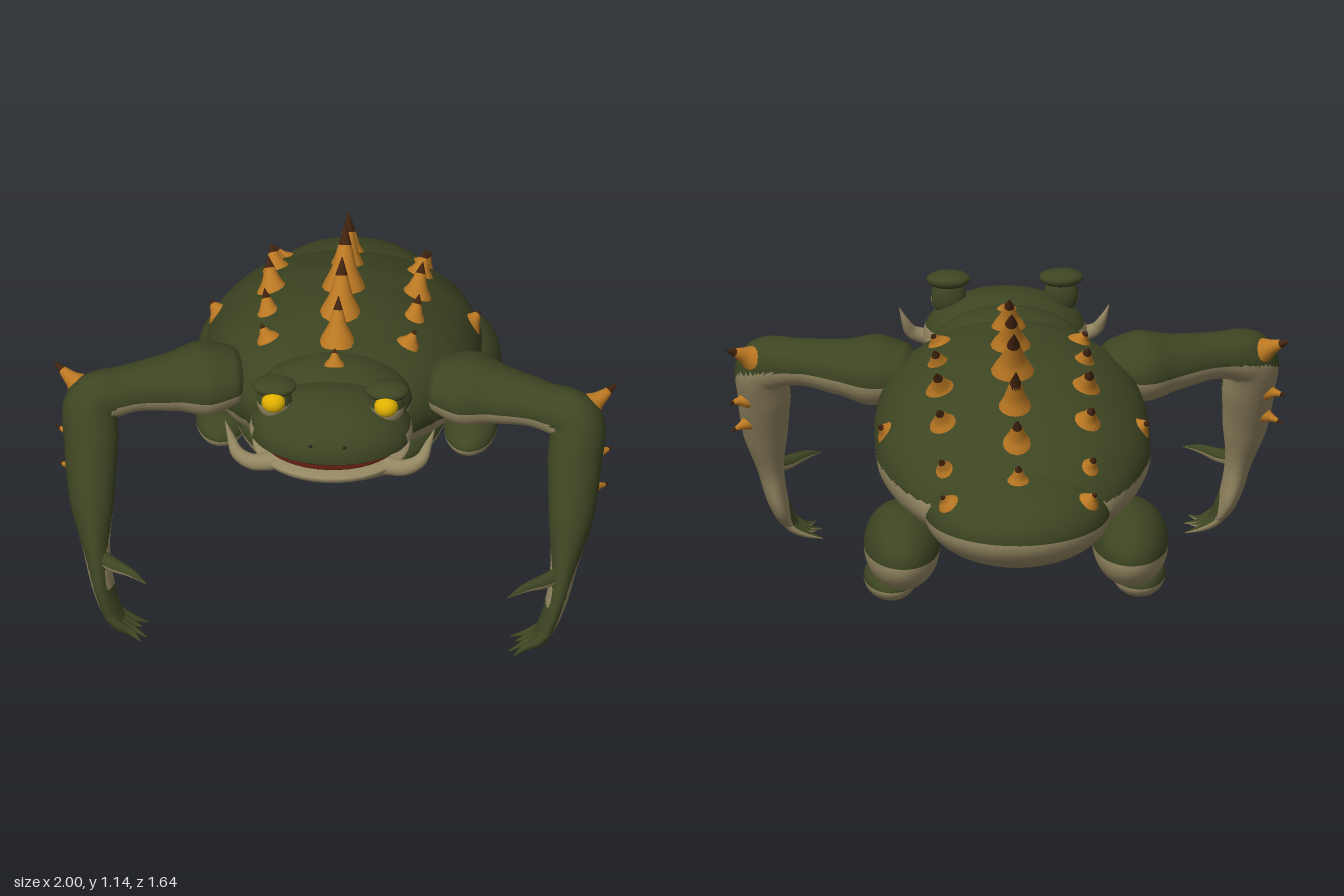
import * as THREE from 'three';

const mat = (name, color) => Object.assign(new THREE.MeshStandardMaterial({ color }), { name });

export function createModel() {
  const root = new THREE.Group();
  root.name = 'spikedToad';
  const green = mat('mossGreen', 0x3d4522);
  const tan = mat('bellyTan', 0x948762);
  const orange = mat('spikeOrange', 0xb97722);
  const brown = mat('spikeTipBrown', 0x3f220e);
  const yellow = mat('eyeYellow', 0xe0b000);
  const red = mat('mouthRed', 0x55190f);
  const dark = mat('nostrilDark', 0x1f2412);

  const add = (name, geo, material) => {
    const mesh = new THREE.Mesh(geo, material);
    mesh.name = name;
    root.add(mesh);
  };

  // Sort faces into two material groups by a rule on face centre and normal
  function twoTone(geo, isFirst) {
    const p = geo.attributes.position, idx = geo.index.array, sets = [[], []];
    const tri = new THREE.Triangle(), c = new THREE.Vector3(), n = new THREE.Vector3();
    for (let i = 0; i < idx.length; i += 3) {
      tri.setFromAttributeAndIndices(p, idx[i], idx[i + 1], idx[i + 2]);
      tri.getMidpoint(c);
      tri.getNormal(n);
      sets[isFirst(c, n) ? 0 : 1].push(idx[i], idx[i + 1], idx[i + 2]);
    }
    geo.setIndex([...sets[0], ...sets[1]]);
    geo.addGroup(0, sets[0].length, 0);
    geo.addGroup(sets[0].length, sets[1].length, 1);
    return geo;
  }

  // Ellipsoid whose upper and lower halves can have different heights
  function blob(x, y, z, rx, up, down, rz) {
    const geo = new THREE.SphereGeometry(1, 40, 28);
    const p = geo.attributes.position;
    for (let i = 0; i < p.count; i++) {
      const h = p.getY(i);
      p.setXYZ(i, x + p.getX(i) * rx, y + h * (h > 0 ? up : down), z + p.getZ(i) * rz);
    }
    geo.computeVertexNormals();
    return geo;
  }

  // Smooth loft through stations [x, y, z, radiusA, radiusB]
  function loft(stations, ref, rings, sides) {
    const path = new THREE.CatmullRomCurve3(stations.map(s => new THREE.Vector3(s[0], s[1], s[2])));
    const size = new THREE.CatmullRomCurve3(stations.map(s => new THREE.Vector3(s[3], s[4], 0)));
    const pos = [], idx = [];
    for (let i = 0; i <= rings; i++) {
      const u = i / rings, c = path.getPoint(u), t = path.getTangent(u), r = size.getPoint(u);
      const side = new THREE.Vector3().crossVectors(ref, t).normalize();
      const up = new THREE.Vector3().crossVectors(t, side);
      for (let j = 0; j < sides; j++) {
        const a = j / sides * Math.PI * 2;
        const v = c.clone().addScaledVector(side, Math.cos(a) * r.x).addScaledVector(up, Math.sin(a) * r.y);
        pos.push(v.x, v.y, v.z);
        if (i === rings) continue;
        const k = i * sides + j, l = i * sides + (j + 1) % sides;
        idx.push(k, l, k + sides, l, l + sides, k + sides);
      }
    }
    const geo = new THREE.BufferGeometry();
    geo.setAttribute('position', new THREE.Float32BufferAttribute(pos, 3));
    geo.setIndex(idx);
    geo.computeVertexNormals();
    return geo;
  }

  const X = new THREE.Vector3(1, 0, 0), Y = new THREE.Vector3(0, 1, 0), Z = new THREE.Vector3(0, 0, 1);
  const skin = [green, tan];

  // Thorn with flared base, slight bend and a dark tip
  function spike(name, b, t, r, ref = X) {
    const base = new THREE.Vector3(...b), tip = new THREE.Vector3(...t), len = base.distanceTo(tip);
    const at = (k, w) => {
      const v = base.clone().lerp(tip, k);
      return [v.x, v.y, v.z + Math.sin(k * Math.PI) * len * 0.05, r * w, r * w];
    };
    const geo = loft([at(-0.15, 1.2), at(0.08, 0.95), at(0.35, 0.58), at(0.7, 0.3), at(1, 0.02)], ref, 16, 14);
    add(name, twoTone(geo, c => c.distanceTo(tip) > len * 0.36), [orange, brown]);
  }

  // Torso, rump and belly
  const torso = loft([
    [0, 0.83, 0.52, 0.004, 0.004], [0, 0.815, 0.47, 0.21, 0.12], [0, 0.79, 0.4, 0.31, 0.19],
    [0, 0.765, 0.28, 0.42, 0.228], [0, 0.735, 0.15, 0.468, 0.26], [0, 0.702, 0, 0.488, 0.275],
    [0, 0.67, -0.2, 0.485, 0.265], [0, 0.638, -0.4, 0.425, 0.22], [0, 0.61, -0.55, 0.325, 0.145],
    [0, 0.6, -0.66, 0.004, 0.004]], Y, 110, 110);
  add('torso', twoTone(torso, c => c.y > Math.min(0.7, 0.69 + c.z * 0.08)), skin);
  add('rump', twoTone(blob(0, 0.59, -0.5, 0.33, 0.165, 0.17, 0.32), c => c.y > 0.59), skin);
  add('belly', twoTone(blob(0, 0.53, 0.05, 0.375, 0.115, 0.13, 0.41), c => c.y > 0.53), skin);

  // Head and mouth
  add('neck', twoTone(blob(0, 0.84, 0.4, 0.275, 0.15, 0.13, 0.2), c => c.y > 0.84), skin);
  add('head', twoTone(blob(0, 0.83, 0.585, 0.29, 0.155, 0.03, 0.215), c => c.y > 0.865 || c.z > 0.65), skin);
  add('mouth', blob(0, 0.8, 0.585, 0.25, 0.025, 0.025, 0.203), red);
  add('lowerJaw', blob(0, 0.77, 0.575, 0.28, 0.03, 0.07, 0.235), tan);

  // Arm colour: green front and top, pale underside and back
  const armColour = (c, n) => {
    const w = Math.max(THREE.MathUtils.smoothstep(c.y, 0.66, 0.8),
      1 - THREE.MathUtils.smoothstep(Math.abs(c.x), 0.74, 0.8));
    const limit = THREE.MathUtils.clamp(THREE.MathUtils.mapLinear(c.y, 0.65, 0.3, -0.3, 0.4), -0.2, 0.5);
    return w * (n.y + 0.1) + (1 - w) * (n.z - limit) > 0;
  };

  for (const s of [1, -1]) {
    const side = s > 0 ? 'left' : 'right';
    const flip = list => list.map(([x, ...rest]) => [x * s, ...rest]);

    // Face details
    add(side + 'Cheek', blob(s * 0.2, 0.82, 0.56, 0.085, 0.05, 0.07, 0.12), tan);
    add(side + 'EyeStalk', twoTone(blob(s * 0.2, 0.96, 0.607, 0.062, 0.08, 0.07, 0.05), c => c.y > 0.965 || c.z < 0.59), skin);
    add(side + 'Eyelid', blob(s * 0.2, 1.028, 0.608, 0.078, 0.027, 0.035, 0.056), green);
    add(side + 'Eye', blob(s * 0.2, 0.993, 0.66, 0.042, 0.038, 0.038, 0.036), yellow);
    add(side + 'Nostril', blob(s * 0.06, 0.89, 0.775, 0.008, 0.005, 0.005, 0.008), dark);
    add(side + 'Tusk', loft(flip([
      [0.2, 0.765, 0.7, 0.035, 0.035], [0.27, 0.765, 0.71, 0.03, 0.028], [0.325, 0.79, 0.695, 0.024, 0.022],
      [0.35, 0.84, 0.67, 0.014, 0.014], [0.372, 0.9, 0.655, 0.001, 0.001]]), Z, 24, 14), tan);

    // Arm with palm
    const arm = loft(flip([
      [0.3, 0.82, 0.26, 0.01, 0.01], [0.36, 0.82, 0.27, 0.09, 0.12], [0.47, 0.815, 0.29, 0.122, 0.15],
      [0.58, 0.815, 0.32, 0.1, 0.115], [0.74, 0.815, 0.375, 0.083, 0.09], [0.855, 0.785, 0.42, 0.1, 0.09],
      [0.858, 0.65, 0.485, 0.096, 0.09], [0.85, 0.47, 0.57, 0.08, 0.085], [0.83, 0.31, 0.635, 0.048, 0.08],
      [0.805, 0.18, 0.67, 0.038, 0.09], [0.77, 0.09, 0.705, 0.03, 0.068], [0.73, 0.05, 0.718, 0.008, 0.04]]),
    Z, 150, 64);
    add(side + 'Arm', twoTone(arm, armColour), skin);

    // Fingers and thumb
    for (const [k, z] of [0.672, 0.702, 0.732, 0.76].entries()) {
      const finger = loft(flip([
        [0.785, 0.1, z - 0.012, 0.02, 0.022], [0.745, 0.055, z - 0.004, 0.018, 0.02],
        [0.7, 0.03, z, 0.013, 0.014], [0.642 + (k % 2) * 0.02, 0.012 + (k % 2) * 0.012, z + k * 0.015, 0.002, 0.002]]),
      Z, 16, 12);
      add(side + 'Finger', twoTone(finger, (c, n) => n.z > 0.1 || n.y > 0.3), skin);
    }
    const thumb = loft(flip([
      [0.84, 0.3, 0.65, 0.028, 0.028], [0.77, 0.29, 0.71, 0.026, 0.026],
      [0.7, 0.295, 0.765, 0.016, 0.016], [0.64, 0.285, 0.815, 0.002, 0.002]]), Y, 16, 14);
    add(side + 'Thumb', twoTone(thumb, (c, n) => n.y > -0.1), skin);

    // Elbow and forearm spikes
    spike(side + 'ElbowSpike', [s * 0.9, 0.825, 0.385], [s, 0.885, 0.32], 0.05, Z);
    spike(side + 'ForearmSpike', [s * 0.93, 0.65, 0.425], [s * 0.99, 0.652, 0.385], 0.026, Z);
    spike(side + 'ForearmSpike', [s * 0.92, 0.54, 0.475], [s * 0.98, 0.525, 0.43], 0.024, Z);

    // Hind leg
    add(side + 'Thigh', twoTone(blob(s * 0.405, 0.425, -0.39, 0.135, 0.147, 0.145, 0.235), c => c.y > 0.425), skin);
    add(side + 'HindFoot', twoTone(blob(s * 0.44, 0.25, -0.255, 0.095, 0.063, 0.067, 0.163), c => c.y > 0.25), skin);

    // Outer rows of back spikes: base y, base z, tip y, tip z, radius
    for (const [y, z, ty, tz, r] of [
      [0.945, 0.21, 0.99, 0.19, 0.038], [0.915, 0.05, 1.005, 0, 0.054], [0.895, -0.13, 1, -0.2, 0.06],
      [0.85, -0.32, 0.93, -0.37, 0.053], [0.745, -0.49, 0.805, -0.53, 0.044], [0.68, -0.625, 0.715, -0.645, 0.034]])
      spike(side + 'BackSpike', [s * 0.252, y, z], [s * 0.275, ty, tz], r);
    spike(side + 'FlankSpike', [s * 0.445, 0.765, -0.17], [s * 0.48, 0.8, -0.195], 0.045, Z);
  }

  // Central ridge of spikes: base y, base z, tip y, tip z, radius
  for (const [y, z, ty, tz, r] of [
    [0.985, 0.405, 1.03, 0.375, 0.034], [0.985, 0.255, 1.12, 0.185, 0.058], [0.97, 0.085, 1.145, -0.015, 0.075],
    [0.945, -0.09, 1.15, -0.21, 0.08], [0.88, -0.285, 1.075, -0.38, 0.069], [0.82, -0.45, 0.945, -0.515, 0.06],
    [0.735, -0.59, 0.82, -0.625, 0.045]])
    spike('ridgeSpike', [0, y, z], [0, ty, tz], r);

  return root;
}
